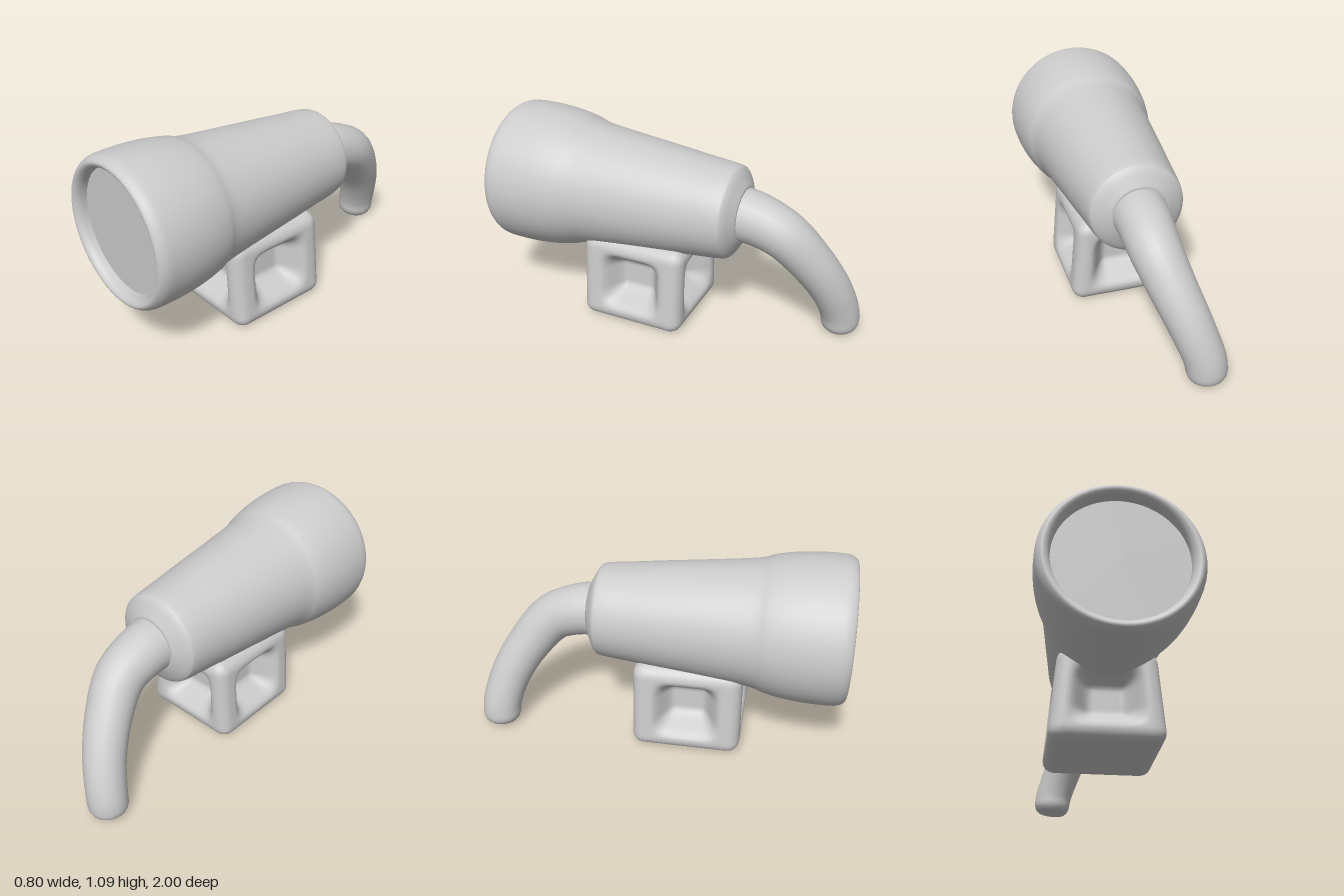
import * as THREE from 'three';
import { mergeVertices } from 'three/addons/utils/BufferGeometryUtils.js';

const grey = new THREE.MeshStandardMaterial({ color: 0xcccccc });
const AXIS_Y = 0.688;

// Weld seams and give the surface continuous smooth normals
function smooth(geometry) {
  geometry.deleteAttribute('uv');
  geometry.deleteAttribute('normal');
  const welded = mergeVertices(geometry, 1e-5);
  welded.computeVertexNormals();
  return welded;
}

function part(name, geometry) {
  const mesh = new THREE.Mesh(geometry, grey);
  mesh.name = name;
  return mesh;
}

// Barrel turned around z: [radius, z] from the back cap over the rim to the lens seat
function createBarrel() {
  const profile = [
    [0, -0.385], [0.15, -0.385], [0.18, -0.37], [0.236, -0.338], [0.254, -0.3], [0.27, -0.15],
    [0.287, 0], [0.308, 0.2], [0.332, 0.42], [0.347, 0.52], [0.367, 0.58], [0.386, 0.68],
    [0.397, 0.8], [0.398, 0.9], [0.393, 0.96], [0.372, 0.995], [0.35, 0.995],
    [0.331, 0.97], [0.325, 0.92],
  ].map(([r, z]) => new THREE.Vector2(r, z));
  const points = [profile[0], ...new THREE.SplineCurve(profile.slice(1)).getPoints(72)];
  return new THREE.LatheGeometry(points, 56).rotateX(Math.PI / 2).translate(0, AXIS_Y, 0);
}

// Curved horn: a tube whose rings taper and close in a rounded tip
function createHorn() {
  const path = new THREE.CatmullRomCurve3([
    [0, 0.688, -0.33], [0, 0.675, -0.45], [-0.005, 0.615, -0.6], [-0.05, 0.475, -0.73],
    [-0.115, 0.3, -0.835], [-0.175, 0.12, -0.89], [-0.19, 0.002, -0.893],
  ].map((p) => new THREE.Vector3(...p)));
  const rings = 64, sides = 24, tipStart = 0.92;
  const tube = new THREE.TubeGeometry(path, rings, 1, sides);
  const pos = tube.attributes.position;
  const v = new THREE.Vector3();
  for (let i = 0; i <= rings; i++) {
    const t = i / rings;
    const centre = path.getPointAt(t);
    const s = Math.max(0, (t - tipStart) / (1 - tipStart));
    const taper = 0.105 + 0.044 * Math.pow(1 - t, 1.6);
    const radius = taper * Math.cbrt(Math.max(0, 1 - s ** 3));
    for (let j = 0; j <= sides; j++) {
      const k = i * (sides + 1) + j;
      v.fromBufferAttribute(pos, k).sub(centre).multiplyScalar(radius).add(centre);
      pos.setXYZ(k, v.x, v.y, v.z);
    }
  }
  return smooth(tube);
}

// Foot: tapered rounded block with a soft hollow pressed into each of its four sides
function createFoot() {
  const half = new THREE.Vector3(0.265, 0.245, 0.295);
  const round = 0.065, depth = 0.13;
  const block = new THREE.BoxGeometry(half.x * 2, half.y * 2, half.z * 2, 36, 36, 36);
  const pos = block.attributes.position;
  const p = new THREE.Vector3(), core = new THREE.Vector3();
  const inner = half.clone().subScalar(round), outer = inner.clone().negate();
  const hollow = (across, up) =>
    (1 - THREE.MathUtils.smoothstep(Math.abs(across), 0.075, 0.19)) *
    (1 - THREE.MathUtils.smoothstep(Math.abs(up), 0.06, 0.175));
  for (let i = 0; i < pos.count; i++) {
    p.fromBufferAttribute(pos, i);
    const onX = Math.abs(p.x) > half.x - 1e-4;
    const onZ = Math.abs(p.z) > half.z - 1e-4;
    const { x, y, z } = p;
    core.copy(p).clamp(outer, inner);
    p.sub(core).setLength(round).add(core);
    if (onX) p.x -= Math.sign(x) * depth * hollow(z, y);
    if (onZ) p.z -= Math.sign(z) * depth * hollow(x, y);
    p.x *= 1.02 - 0.34 * y;
    pos.setXYZ(i, p.x, p.y + half.y, p.z + 0.173);
  }
  return smooth(block);
}

export function createModel() {
  const model = new THREE.Group();
  model.name = 'hornedBarrelOnFoot';
  model.add(part('barrel', createBarrel()));
  model.add(part('lens', new THREE.CircleGeometry(0.33, 56).translate(0, AXIS_Y, 0.935)));
  model.add(part('horn', createHorn()));
  model.add(part('foot', createFoot()));
  return model;
}
